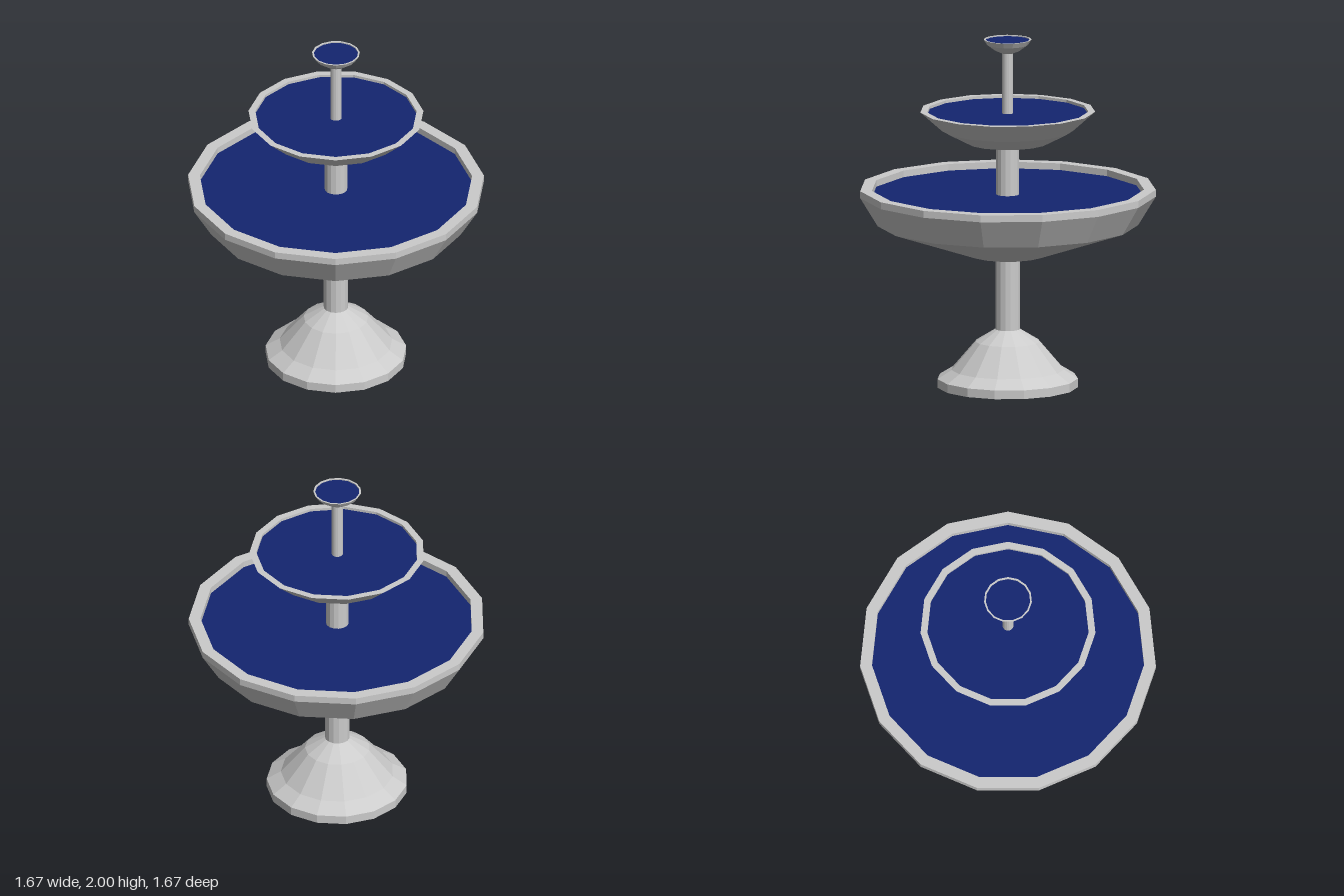
import * as THREE from 'three';

const SIDES = 15;
const stone = new THREE.MeshStandardMaterial({ color: 0xcccccc, flatShading: true });
const water = new THREE.MeshStandardMaterial({ color: 0x142570 });

// Faceted solid of revolution from [radius, y] pairs, with one corner on +x
function turned(name, profile) {
  const points = profile.map(([r, y]) => new THREE.Vector2(r, y));
  const mesh = new THREE.Mesh(new THREE.LatheGeometry(points, SIDES, Math.PI / 2), stone);
  mesh.name = name;
  return mesh;
}

// Flat water surface facing up
function pool(name, radius, y) {
  const mesh = new THREE.Mesh(new THREE.CircleGeometry(radius, SIDES).rotateX(-Math.PI / 2), water);
  mesh.position.y = y;
  mesh.name = name;
  return mesh;
}

// Outer shell, flat rim and inner wall down to the water
function basin(name, shell, rimRadius, waterRadius, waterY) {
  const group = new THREE.Group();
  group.name = name;
  const top = shell[shell.length - 1][1];
  group.add(
    turned(name + 'Bowl', [...shell, [rimRadius, top], [waterRadius, waterY]]),
    pool(name + 'Water', waterRadius, waterY),
  );
  return group;
}

export function createModel() {
  const fountain = new THREE.Group();
  fountain.name = 'fountain';

  // Foot and columns
  fountain.add(
    turned('foot', [[0, 0], [0.4, 0], [0.4, 0.05], [0.32, 0.1], [0.183, 0.26], [0.07, 0.33]]),
    turned('lowerColumn', [[0.07, 0.33], [0.07, 0.73]]),
    turned('middleColumn', [[0.065, 1.1], [0.065, 1.38]]),
    turned('upperColumn', [[0.032, 1.57], [0.032, 1.92]]),
  );

  // Three basins, largest at the bottom
  fountain.add(
    basin('lowerBasin',
      [[0.07, 0.73], [0.213, 0.757], [0.742, 0.94], [0.842, 1.105], [0.842, 1.145]], 0.775, 0.775, 1.107),
    basin('middleBasin',
      [[0.065, 1.378], [0.23, 1.405], [0.375, 1.48], [0.498, 1.59]], 0.459, 0.459, 1.574),
    basin('topBasin',
      [[0.032, 1.92], [0.072, 1.937], [0.117, 1.97], [0.136, 2]], 0.126, 0.126, 1.994),
  );

  // Centre the odd-sided outline on x = 0
  fountain.position.x = -0.009;
  const model = new THREE.Group();
  model.add(fountain);
  return model;
}
